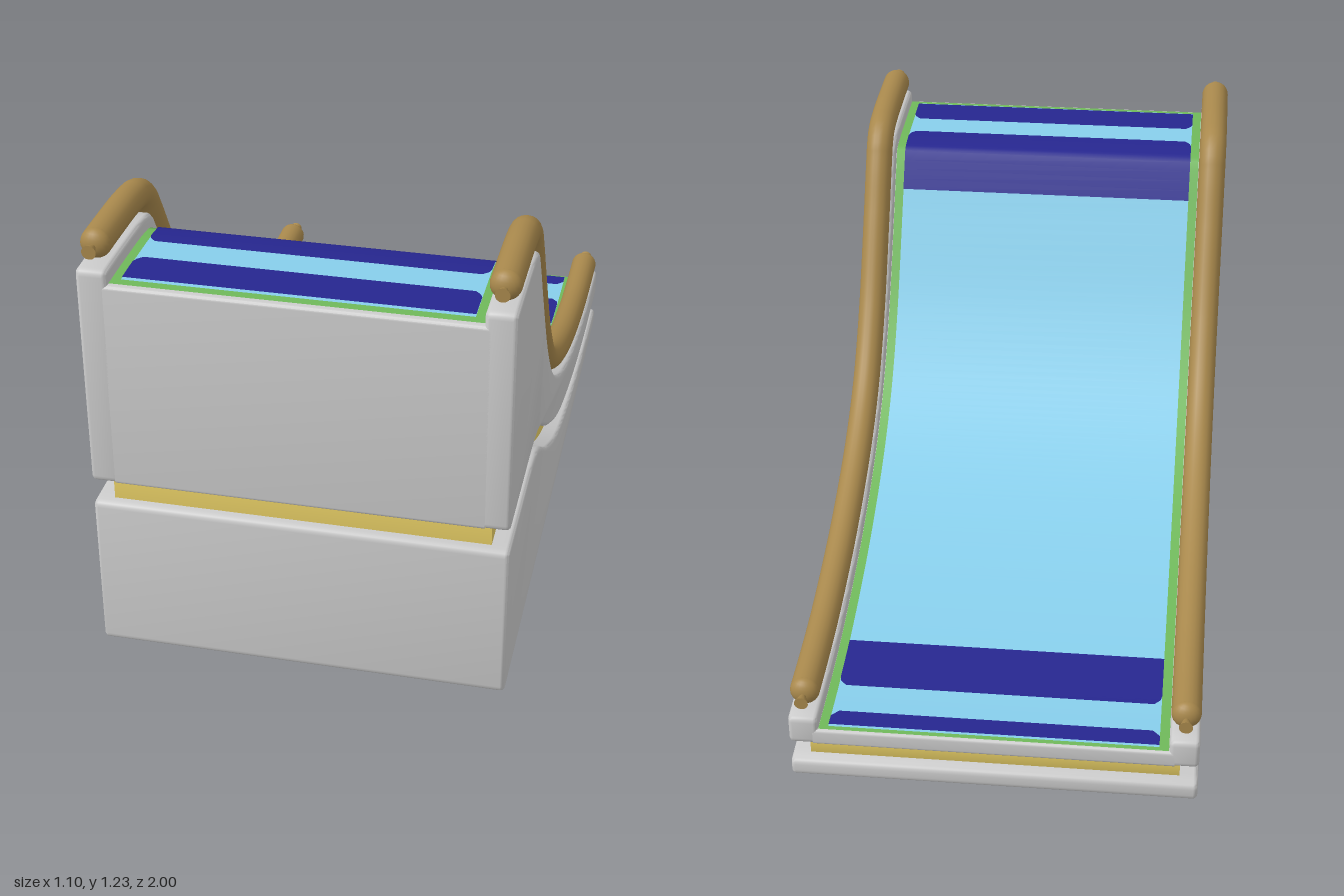
import * as THREE from 'three';
import { toCreasedNormals } from 'three/addons/utils/BufferGeometryUtils.js';

const material = (color, side = THREE.FrontSide) => new THREE.MeshStandardMaterial({ color, side });

// Smooth line through [z, y] points, resampled from the high front to the low back
function sample(points, n = 90) {
  const curve = new THREE.CatmullRomCurve3(points.map(([z, y]) => new THREE.Vector3(z, y, 0)));
  return curve.getSpacedPoints(n).map((p) => new THREE.Vector2(p.x, p.y));
}

// Shift a line along its upward normal
function offset(line, d) {
  return line.map((p, i) => {
    const a = line[Math.max(i - 1, 0)], b = line[Math.min(i + 1, line.length - 1)];
    const t = b.clone().sub(a).normalize();
    return new THREE.Vector2(p.x - t.y * -d, p.y + -t.x * d);
  });
}

// Height of a line at a given z
function heightAt(line, z) {
  for (let i = 1; i < line.length; i++) {
    const a = line[i - 1], b = line[i];
    if (z >= b.x) return a.y + (b.y - a.y) * (z - a.x) / (b.x - a.x);
  }
  return line[line.length - 1].y;
}

// Closed side profile between two lines, with rounded end corners
function profile(top, bottom, zBack, zFront, r) {
  const inner = (line) => line.filter((p) => p.x > zBack + r * 1.5 && p.x < zFront - r * 1.5);
  const y = (line, z) => heightAt(line, z);
  const s = new THREE.Shape();
  s.moveTo(zFront - r, y(top, zFront - r));
  inner(top).forEach((p) => s.lineTo(p.x, p.y));
  s.lineTo(zBack + r, y(top, zBack + r));
  s.quadraticCurveTo(zBack, y(top, zBack), zBack, y(top, zBack) - r);
  s.lineTo(zBack, y(bottom, zBack) + r);
  s.quadraticCurveTo(zBack, y(bottom, zBack), zBack + r, y(bottom, zBack + r));
  inner(bottom).reverse().forEach((p) => s.lineTo(p.x, p.y));
  s.lineTo(zFront - r, y(bottom, zFront - r));
  s.quadraticCurveTo(zFront, y(bottom, zFront), zFront, y(bottom, zFront) + r);
  s.lineTo(zFront, y(top, zFront) - r);
  s.quadraticCurveTo(zFront, y(top, zFront), zFront - r, y(top, zFront - r));
  return s;
}

// Extrude a side profile across x from x0 to x1
function slab(name, shape, x0, x1, bevel, color) {
  const g = new THREE.ExtrudeGeometry(shape, {
    depth: x1 - x0 - 2 * bevel, curveSegments: 4, bevelEnabled: bevel > 0,
    bevelThickness: bevel, bevelSize: bevel, bevelOffset: -bevel, bevelSegments: 3,
  });
  g.rotateY(-Math.PI / 2).translate(x1 - bevel, 0, 0);
  const mesh = new THREE.Mesh(toCreasedNormals(g, 0.7), material(color));
  mesh.name = name;
  return mesh;
}

// Thin sheet lying on a line; chamfers narrow it at its back and front ends
function sheet(name, line, z0, z1, halfWidth, lift, color, backCut = 0, frontCut = 0) {
  const rows = Math.max(8, Math.ceil((z1 - z0) * 60));
  const g = new THREE.PlaneGeometry(2, z1 - z0, 1, rows).rotateX(-Math.PI / 2);
  g.translate(0, 0, (z0 + z1) / 2);
  const p = g.attributes.position;
  for (let i = 0; i < p.count; i++) {
    const z = p.getZ(i);
    const cut = Math.max(0, backCut - (z - z0), frontCut - (z1 - z));
    p.setXYZ(i, p.getX(i) * (halfWidth - cut), heightAt(line, z) + lift, z);
  }
  g.computeVertexNormals();
  const mesh = new THREE.Mesh(g, material(color, THREE.DoubleSide));
  mesh.name = name;
  return mesh;
}

// Handrail tube with rounded ends and small flared knobs
function handrail(line, x, r) {
  const rail = new THREE.Group();
  const brown = material(0xa8884c);
  const add = (name, g) => {
    const m = new THREE.Mesh(g, brown);
    m.name = name;
    rail.add(m);
  };
  const end = 0.94;
  const pts = [new THREE.Vector2(end, heightAt(line, end)),
    ...line.filter((p) => Math.abs(p.x) < end - 0.01),
    new THREE.Vector2(-end, heightAt(line, -end))];
  const path = new THREE.CatmullRomCurve3(pts.map((p) => new THREE.Vector3(x, p.y, p.x)));
  add('railTube', new THREE.TubeGeometry(path, 120, r, 20));
  for (const s of [1, -1]) {
    const y = heightAt(line, s * end);
    add('railEnd', new THREE.SphereGeometry(r, 20, 14).scale(1, 1, 0.75).translate(x, y, s * end));
    add('railKnob', new THREE.CylinderGeometry(0.019, 0.007, 0.032, 14)
      .rotateX(s * Math.PI / 2).translate(x, y, s * 0.981));
  }
  return rail;
}

export function createModel() {
  const model = new THREE.Group();
  model.name = 'slideRamp';
  const grey = 0xcccccc;

  // Lines of the side walls, the groove and the floor, as [z, y]
  const wallTop = sample([[1, 1.14], [0.85, 1.14], [0.7, 1.135], [0.63, 1.12], [0.59, 1.065],
    [0.51, 0.93], [0.35, 0.68], [0.19, 0.505], [0, 0.385], [-0.29, 0.28], [-0.61, 0.219], [-0.8, 0.206], [-1, 0.205]]);
  const upperBottom = sample([[1, 0.515], [0.8, 0.515], [0.6, 0.513], [0.46, 0.485], [0.25, 0.36],
    [0, 0.243], [-0.29, 0.17], [-0.61, 0.128], [-1, 0.115]]);
  const lowerTop = sample([[1, 0.45], [0.8, 0.45], [0.6, 0.447], [0.46, 0.417], [0.25, 0.29],
    [0, 0.175], [-0.29, 0.107], [-0.61, 0.07], [-1, 0.055]]);
  const floor = [new THREE.Vector2(1, 0), new THREE.Vector2(-1, 0)];
  const deck = offset(wallTop, -0.04);
  const railLine = offset(wallTop, 0.049);

  // Lower body and the recessed band above it
  model.add(slab('lowerBody', profile(lowerTop, floor, -1, 1, 0.018), -0.55, 0.55, 0.012, grey));
  const bandTop = upperBottom.map((p) => new THREE.Vector2(p.x, p.y + 0.012));
  const bandBottom = lowerTop.map((p) => new THREE.Vector2(p.x, p.y - 0.012));
  model.add(slab('recessedBand', profile(bandTop, bandBottom, -0.965, 0.97, 0.005), -0.5, 0.5, 0, 0xe8cf66));

  // Upper body: core under the deck, with a raised wall on each side
  model.add(slab('upperBody', profile(deck, upperBottom, -1, 1, 0.01), -0.485, 0.485, 0, grey));
  const wall = profile(wallTop, upperBottom, -1, 1, 0.018);
  model.add(slab('leftWall', wall, 0.47, 0.55, 0.012, grey));
  model.add(slab('rightWall', wall, -0.55, -0.47, 0.012, grey));

  // Sliding surface: green border, light blue lane, dark blue stripes
  model.add(sheet('deckBorder', deck, -0.995, 0.985, 0.469, 0.003, 0x6fb85a));
  model.add(sheet('slideLane', deck, -0.985, 0.965, 0.443, 0.006, 0x87ceeb));
  const navy = 0x26268f;
  const stripes = [[-0.98, -0.925, 0, 0.02], [-0.82, -0.64, 0.02, 0], [0.585, 0.755, 0, 0.02], [0.845, 0.957, 0.02, 0]];
  for (const [z0, z1, backCut, frontCut] of stripes) {
    model.add(sheet('stripe', deck, z0, z1, 0.443, 0.009, navy, backCut, frontCut));
  }

  // Handrails
  for (const s of [1, -1]) {
    const rail = handrail(railLine, s * 0.51, 0.04);
    rail.name = s > 0 ? 'leftHandrail' : 'rightHandrail';
    model.add(rail);
  }
  return model;
}
